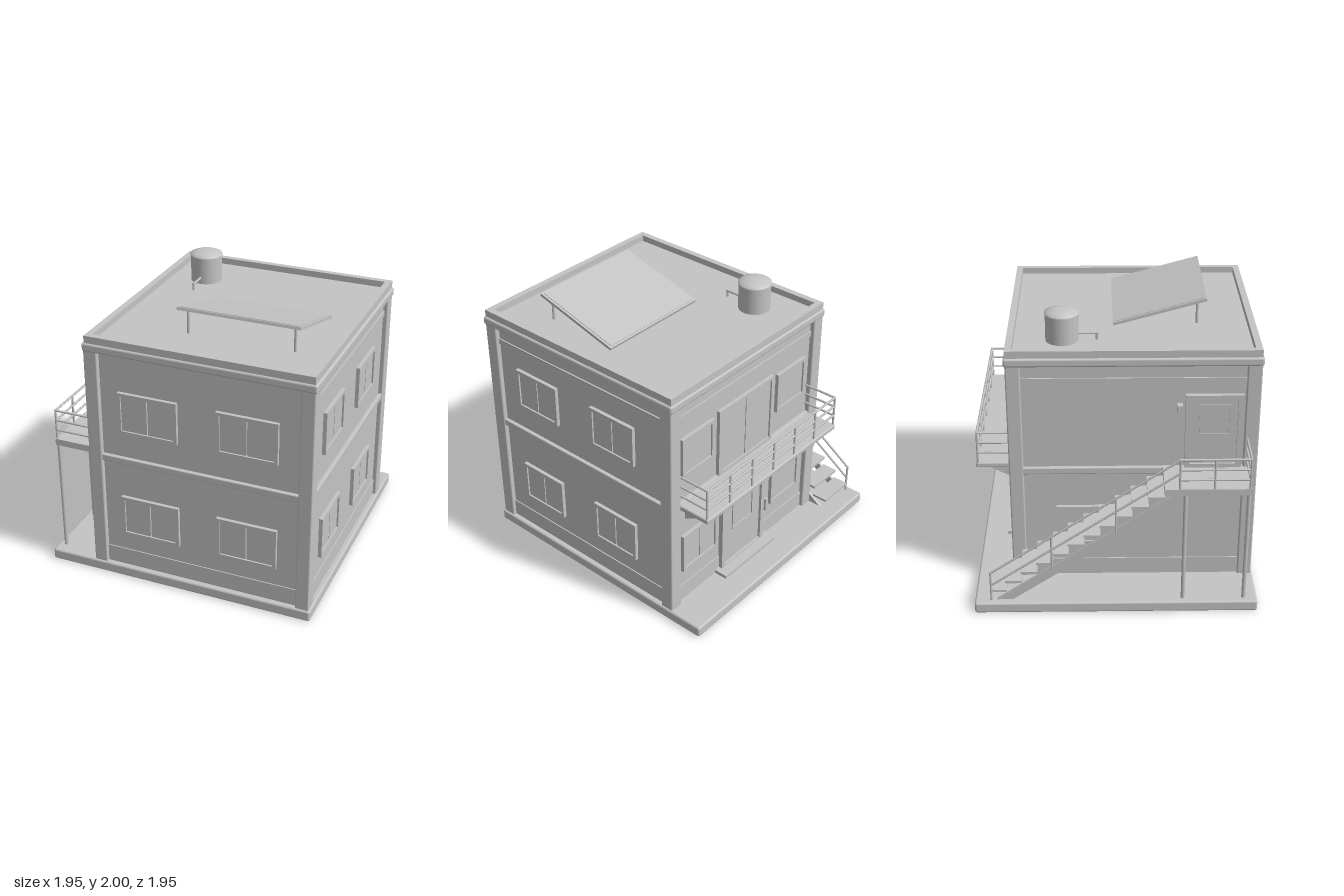
import * as THREE from 'three';
import { RoundedBoxGeometry } from 'three/addons/geometries/RoundedBoxGeometry.js';

const plaster = new THREE.MeshStandardMaterial({ color: 0xc4c4c4 });
plaster.name = 'plainGrey';

function add(parent, name, geometry) {
  const mesh = new THREE.Mesh(geometry, plaster);
  mesh.name = name;
  parent.add(mesh);
  return mesh;
}

// Box given by its limits on each axis; a radius rounds the edges
function box(parent, name, x0, x1, y0, y1, z0, z1, radius = 0) {
  const w = x1 - x0, h = y1 - y0, d = z1 - z0;
  const g = radius ? new RoundedBoxGeometry(w, h, d, 2, radius) : new THREE.BoxGeometry(w, h, d);
  const mesh = add(parent, name, g);
  mesh.position.set((x0 + x1) / 2, (y0 + y1) / 2, (z0 + z1) / 2);
  return mesh;
}

// Round bar between two points
function bar(parent, name, a, b, r = 0.008) {
  const from = new THREE.Vector3(...a), to = new THREE.Vector3(...b);
  const dir = to.clone().sub(from);
  const mesh = add(parent, name, new THREE.CylinderGeometry(r, r, dir.length(), 8));
  mesh.position.copy(from).add(to).multiplyScalar(0.5);
  mesh.quaternion.setFromUnitVectors(new THREE.Vector3(0, 1, 0), dir.normalize());
  return mesh;
}

function rect(target, x0, x1, y0, y1) {
  target.moveTo(x0, y0).lineTo(x1, y0).lineTo(x1, y1).lineTo(x0, y1).closePath();
  return target;
}

// Rectangular ring facing +z
function ring(x0, x1, y0, y1, t, depth) {
  const shape = rect(new THREE.Shape(), x0, x1, y0, y1);
  shape.holes.push(rect(new THREE.Path(), x0 + t, x1 - t, y0 + t, y1 - t));
  return new THREE.ExtrudeGeometry(shape, { depth, bevelEnabled: false });
}

// Plate with a z,y outline, spanning x0 to x1
function sidePlate(parent, name, points, x0, x1) {
  const shape = new THREE.Shape(points.map(([z, y]) => new THREE.Vector2(-z, y)));
  const mesh = add(parent, name, new THREE.ExtrudeGeometry(shape, { depth: x1 - x0, bevelEnabled: false }));
  mesh.rotation.y = Math.PI / 2;
  mesh.position.x = x0;
  return mesh;
}

// Framed window in a wall's own plane, split into panes
function windowUnit(wall, name, x0, x1, y0, y1, panes = 2) {
  const g = new THREE.Group();
  g.name = name;
  wall.add(g);
  const t = 0.025, gap = 0.008, w = (x1 - x0 - 2 * t) / panes;
  add(g, 'casing', ring(x0, x1, y0, y1, t, 0.026));
  for (let i = 0; i < panes; i++) {
    const a = x0 + t + i * w;
    box(g, 'pane', a + (i ? gap / 2 : 0), a + w - (i < panes - 1 ? gap / 2 : 0), y0 + t, y1 - t, 0, 0.014);
  }
}

// Door with casing, leaf and small raised light
function door(wall, x0, x1, y0, y1, light) {
  const g = new THREE.Group();
  g.name = 'door';
  wall.add(g);
  add(g, 'doorCasing', ring(x0, x1, y0, y1, 0.035, 0.035));
  box(g, 'doorLeaf', x0 + 0.035, x1 - 0.035, y0, y1 - 0.035, 0, 0.016);
  add(g, 'doorLightFrame', ring(...light, 0.012, 0.024));
}

export function createModel() {
  const house = new THREE.Group();
  house.name = 'house';

  // Ground slab, walls and corner pillars
  box(house, 'groundSlab', -0.975, 0.975, 0, 0.08, -0.975, 0.975, 0.015);
  box(house, 'walls', -0.61, 0.93, 0.07, 1.72, -0.69, 0.93);
  for (const x of [-0.64, 0.865])
    for (const z of [-0.725, 0.865])
      box(house, 'cornerPillar', x, x + 0.098, 0.075, 1.72, z, z + 0.098, 0.01);

  // Cornice, roof and parapet
  box(house, 'cornice', -0.645, 0.972, 1.71, 1.77, -0.735, 0.972, 0.015);
  box(house, 'roof', -0.6, 0.93, 1.76, 1.775, -0.7, 0.93);
  const parapet = add(house, 'parapet', ring(-0.63, 0.957, -0.96, 0.725, 0.045, 0.06));
  parapet.rotation.x = -Math.PI / 2;
  parapet.position.y = 1.76;

  // Wall groups: local x runs along the wall, local z points outward
  const makeWall = (name, angle, x, z) => {
    const g = new THREE.Group();
    g.name = name;
    g.rotation.y = angle;
    g.position.set(x, 0, z);
    house.add(g);
    return g;
  };
  const front = makeWall('frontWall', 0, 0, 0.93);
  const right = makeWall('rightWall', Math.PI / 2, 0.93, 0);
  const back = makeWall('backWall', Math.PI, 0, -0.69);
  const left = makeWall('leftWall', -Math.PI / 2, -0.61, 0);

  // Plinths, belts and upper mouldings between the pillars
  for (const [wall, a, b] of [[front, -0.55, 0.875], [right, -0.875, 0.64], [back, -0.875, 0.55], [left, -0.64, 0.875]]) {
    box(wall, 'plinth', a, b, 0.075, 0.207, -0.01, 0.008);
    box(wall, 'belt', a, b, 0.905, 0.955, -0.02, 0.026, 0.008);
    if (wall !== front) box(wall, 'upperMoulding', a, b, 1.58, 1.62, -0.01, 0.01);
  }

  // Windows on the front and right walls
  for (const y of [0.34, 1.14]) {
    for (const x of [-0.412, 0.292]) windowUnit(front, 'frontWindow', x, x + 0.428, y, y + 0.305);
    for (const x of [-0.7, 0.002]) windowUnit(right, 'sideWindow', x, x + 0.386, y, y + 0.305);
  }

  // Back wall: entrance, balcony door and windows
  windowUnit(back, 'backWindow', -0.83, -0.47, 0.34, 0.645);
  windowUnit(back, 'backWindow', 0.14, 0.47, 0.34, 0.645, 1);
  windowUnit(back, 'backWindow', -0.84, -0.52, 1.14, 1.445, 1);
  windowUnit(back, 'backWindow', 0.16, 0.48, 1.14, 1.445, 1);
  windowUnit(back, 'balconyDoor', -0.47, 0.11, 0.95, 1.47);
  door(back, -0.425, 0.046, 0.08, 0.68, [-0.3, -0.07, 0.38, 0.6]);
  box(back, 'doorStep', -0.47, 0.1, 0.075, 0.105, 0, 0.11);
  box(back, 'entryPanel', 0.075, 0.1, 0.32, 0.42, 0, 0.03);

  // Left wall: upper door, lamp and lower window
  door(left, 0.465, 0.85, 0.95, 1.5, [0.56, 0.77, 1.2, 1.43]);
  box(left, 'wallLamp', 0.41, 0.445, 1.37, 1.43, 0, 0.05);
  windowUnit(left, 'leftWindow', -0.41, -0.04, 0.34, 0.645);

  // Balcony with brackets and railing
  const balcony = new THREE.Group();
  balcony.name = 'balcony';
  house.add(balcony);
  box(balcony, 'balconySlab', -0.545, 0.875, 0.91, 0.948, -0.957, -0.68, 0.01);
  for (const x of [-0.46, 0.15, 0.76])
    sidePlate(balcony, 'bracket', [[-0.69, 0.775], [-0.69, 0.915], [-0.945, 0.915], [-0.945, 0.905]], x, x + 0.03);
  const railHeights = [1.025, 1.1, 1.175];
  for (const y of railHeights) {
    bar(balcony, 'backRail', [-0.535, y, -0.942], [0.865, y, -0.942]);
    for (const x of [-0.535, 0.865]) bar(balcony, 'endRail', [x, y, -0.942], [x, y, -0.69]);
  }
  for (let i = 0; i <= 6; i++) {
    const x = -0.535 + i * 1.4 / 6;
    bar(balcony, 'railPost', [x, 0.94, -0.942], [x, 1.18, -0.942]);
  }

  // Landing with support posts and railing
  const stairs = new THREE.Group();
  stairs.name = 'outsideStairs';
  house.add(stairs);
  box(stairs, 'landing', -0.937, -0.61, 0.91, 0.957, 0.32, 0.897);
  for (const z of [0.46, 0.88]) bar(stairs, 'landingPost', [-0.92, 0.07, z], [-0.92, 0.92, z], 0.014);
  for (const y of railHeights) {
    bar(stairs, 'landingSideRail', [-0.928, y, 0.42], [-0.928, y, 0.885]);
    bar(stairs, 'landingFrontRail', [-0.928, y, 0.885], [-0.62, y, 0.885]);
  }
  for (const z of [0.42, 0.65, 0.885]) bar(stairs, 'landingRailPost', [-0.928, 0.94, z], [-0.928, 1.18, z]);

  // Treads, stringers and sloping handrail
  for (let i = 0; i < 11; i++) {
    const z = -0.87 + i * 0.108, y = 0.145 + i * 0.0735;
    box(stairs, 'tread', -0.92, -0.64, y - 0.009, y + 0.009, z, z + 0.115);
  }
  for (const x of [-0.925, -0.65])
    sidePlate(stairs, 'stringer', [[-0.83, 0.075], [-0.72, 0.075], [0.43, 0.857], [0.43, 0.93], [0.41, 0.93]], x, x + 0.02);
  bar(stairs, 'handrail', [-0.928, 0.3, -0.86], [-0.928, 1.175, 0.42]);
  bar(stairs, 'middleRail', [-0.928, 0.2, -0.86], [-0.928, 1.075, 0.42]);
  bar(stairs, 'stairRailPost', [-0.928, 0.07, -0.86], [-0.928, 0.305, -0.86]);
  for (const t of [0.33, 0.67]) {
    const z = -0.86 + 1.28 * t, y = 0.3 + 0.875 * t;
    bar(stairs, 'stairRailPost', [-0.928, y - 0.26, z], [-0.928, y, z]);
  }

  // Water tank with drain pipe
  const tank = new THREE.Group();
  tank.name = 'waterTank';
  tank.position.set(-0.332, 0, -0.355);
  house.add(tank);
  add(tank, 'tankBody', new THREE.CylinderGeometry(0.112, 0.112, 0.205, 32)).position.y = 1.8725;
  const lid = [[0.115, 1.962], [0.115, 1.974], [0.092, 1.984], [0.06, 1.995], [0.03, 1.999], [0, 2]];
  add(tank, 'tankLid', new THREE.LatheGeometry(lid.map(([r, y]) => new THREE.Vector2(r, y)), 32));
  bar(tank, 'drainPipe', [0, 1.82, 0.1], [0, 1.82, 0.243], 0.009);
  bar(tank, 'drainSpout', [0, 1.775, 0.235], [0, 1.826, 0.235], 0.009);

  // Tilted solar panel on two legs
  const panel = new THREE.Group();
  panel.name = 'solarPanel';
  panel.position.set(0.312, 1.877, 0.31);
  panel.rotation.x = -Math.atan(0.275);
  house.add(panel);
  box(panel, 'panelFrame', -0.427, 0.427, -0.01, 0.01, -0.332, 0.332);
  box(panel, 'panelFace', -0.41, 0.41, 0.009, 0.014, -0.318, 0.315);
  for (const x of [-0.06, 0.685]) bar(house, 'panelLeg', [x, 1.77, 0.57], [x, 1.945, 0.57], 0.01);

  return house;
}
